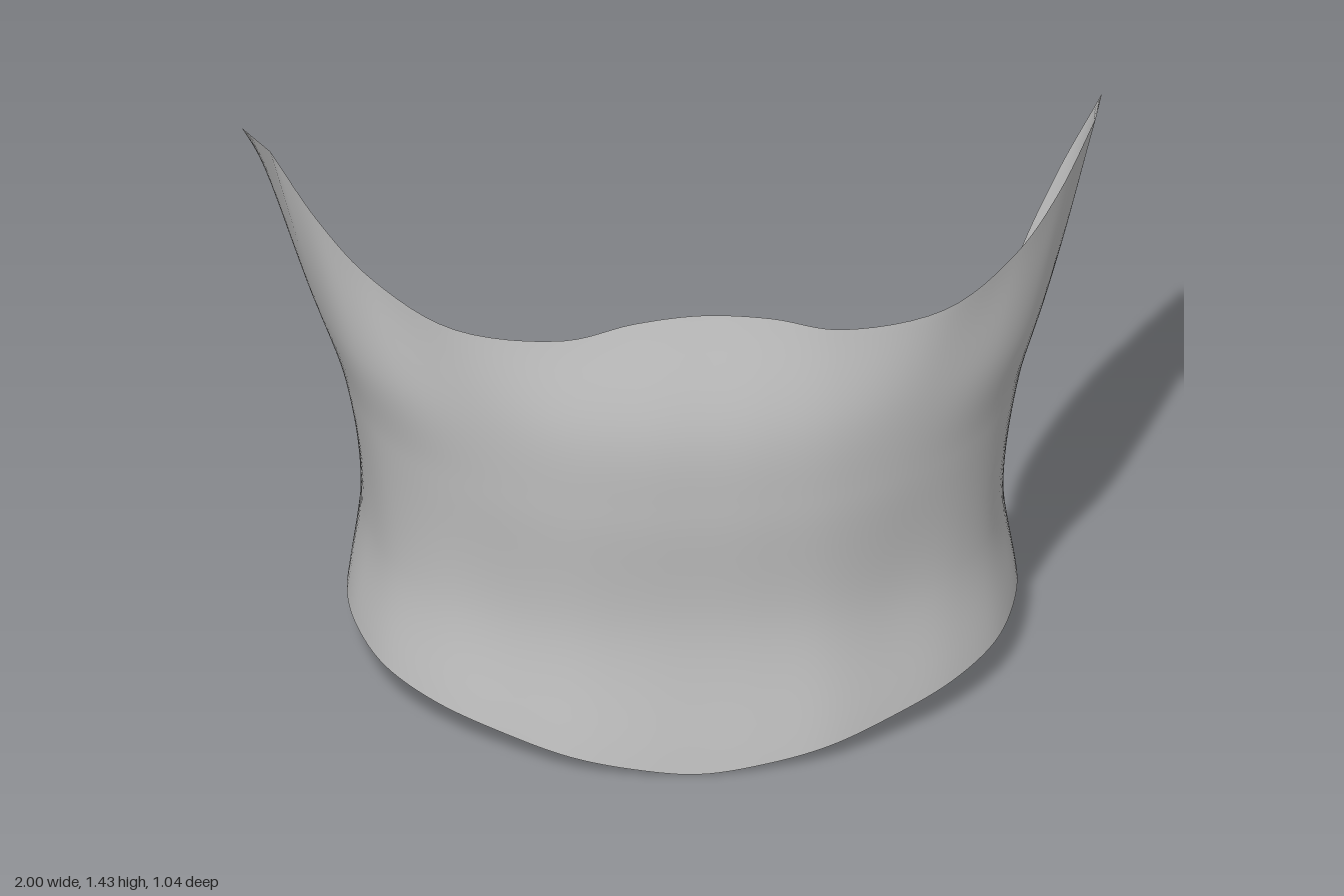
import * as THREE from 'three';

// Half cross-sections [x, y, z], from the front centre line round to the back edge
const HEM = [[0, 0, .395], [.15, .02, .394], [.3, .05, .375], [.45, .08, .31], [.6, .108, .215],
  [.71, .128, .09], [.765, .138, -.06], [.778, .138, -.2], [.745, .13, -.42]];
const TOP = [[0, 1.39, .51], [.16, 1.372, .508], [.32, 1.32, .49], [.57, 1.3, .4], [.75, 1.325, .22],
  [.86, 1.37, .05], [.96, 1.435, -.15], [.98, 1.33, -.34], [1, 1.24, -.52]];

// Level sections between hem and top: height and [x, z] pairs
const LEVELS = [
  [.42, [[0, .415], [.15, .41], [.3, .385], [.45, .315], [.6, .21], [.69, .09], [.735, -.06], [.745, -.2], [.725, -.412]]],
  [.8, [[0, .488], [.15, .484], [.31, .455], [.48, .375], [.63, .255], [.73, .11], [.78, -.06], [.79, -.2], [.782, -.42]]],
  [1.05, [[0, .522], [.15, .519], [.32, .49], [.52, .4], [.69, .265], [.79, .12], [.855, -.08], [.882, -.23], [.888, -.465]]],
];
const CORNER = 6; // column of the pointed upper corner

const mirrored = (half) => [
  ...half.slice(1).reverse().map(([x, y, z]) => new THREE.Vector3(-x, y, z)),
  ...half.map((p) => new THREE.Vector3(...p)),
];

function createShell(columns, rows) {
  const sections = [HEM, ...LEVELS.map(([y, pts]) => pts.map(([x, z]) => [x, y, z])), TOP]
    .map((half) => new THREE.CatmullRomCurve3(mirrored(half), false, 'centripetal'));
  const topCurve = sections[sections.length - 1];

  // The top edge stays straight behind its pointed corner
  const corner = topCurve.points[8 + CORNER], back = topCurve.points[16];
  const front = new THREE.CatmullRomCurve3(mirrored(TOP.slice(0, CORNER + 1)), false, 'centripetal');
  const topPoint = (u) => {
    const k = u * 16 - 8, a = Math.abs(k);
    if (a <= CORNER) return front.getPoint((k + CORNER) / (2 * CORNER));
    const p = corner.clone().lerp(back, (a - CORNER) / (8 - CORNER));
    p.x *= Math.sign(k);
    return p;
  };

  const position = [], index = [];
  for (let i = 0; i <= columns; i++) {
    const u = i / columns;
    const rib = new THREE.CatmullRomCurve3(
      sections.map((s) => (s === topCurve ? topPoint(u) : s.getPoint(u))), false, 'centripetal');
    for (let j = 0; j <= rows; j++) position.push(...rib.getPoint(j / rows).toArray());
  }
  for (let i = 0; i < columns; i++) {
    for (let j = 0; j < rows; j++) {
      const a = i * (rows + 1) + j, b = a + rows + 1;
      index.push(a, b, b + 1, a, b + 1, a + 1);
    }
  }
  const geometry = new THREE.BufferGeometry();
  geometry.setAttribute('position', new THREE.Float32BufferAttribute(position, 3));
  geometry.setIndex(index);
  geometry.computeVertexNormals();
  return geometry;
}

export function createModel() {
  const group = new THREE.Group();
  group.name = 'torsoGuard';

  // Curved open-backed shell
  const material = new THREE.MeshStandardMaterial({ color: 0xcccccc, side: THREE.DoubleSide });
  const shell = new THREE.Mesh(createShell(96, 40), material);
  shell.name = 'wrapShell';
  group.add(shell);
  return group;
}
